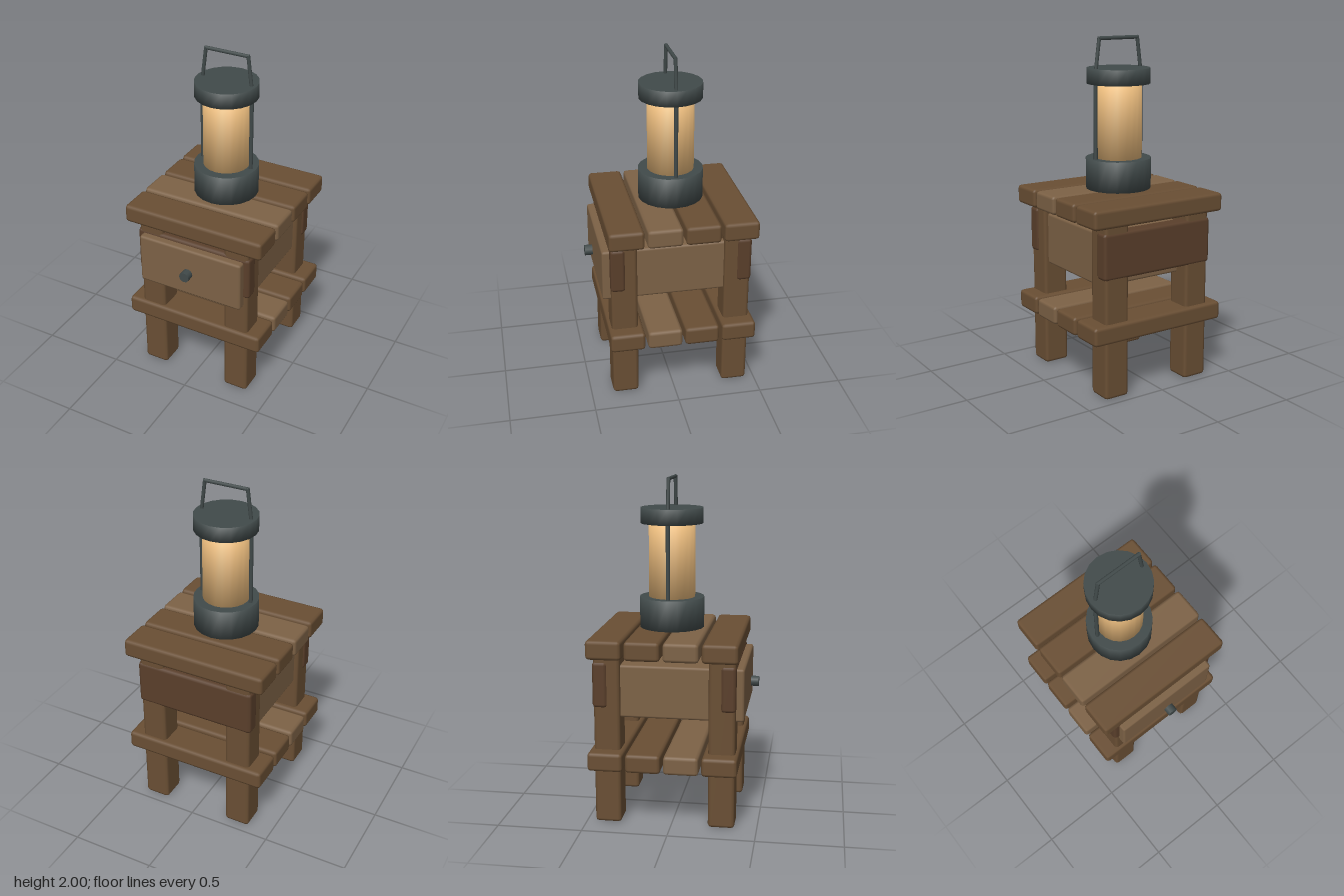
import * as THREE from 'three';
import { RoundedBoxGeometry } from 'three/addons/geometries/RoundedBoxGeometry.js';

const material = (color) => new THREE.MeshStandardMaterial({ color });

export function createModel() {
  const model = new THREE.Group();
  const wood = material(0x6a4f34);
  const paleWood = material(0x7d6246);
  const darkWood = material(0x5a3f2b);
  const metal = material(0x414a4a);
  const glow = material(0xf0c080);

  function add(parent, name, geometry, mat, x = 0, y = 0, z = 0) {
    const mesh = new THREE.Mesh(geometry, mat);
    mesh.name = name;
    mesh.position.set(x, y, z);
    parent.add(mesh);
    return mesh;
  }

  // Chamfered timber given by its lower and upper corners
  function timber(parent, name, mat, [x0, y0, z0], [x1, y1, z1], bevel = 0.02) {
    const geometry = new RoundedBoxGeometry(x1 - x0, y1 - y0, z1 - z0, 1, bevel);
    add(parent, name, geometry, mat, (x0 + x1) / 2, (y0 + y1) / 2, (z0 + z1) / 2);
  }

  const table = new THREE.Group();
  table.name = 'table';
  model.add(table);

  // Table top and lower shelf, four planks each
  for (const [name, y] of [['topPlank', 1.0], ['shelfPlank', 0.34]]) {
    for (let i = 0; i < 4; i++) {
      const z = -0.475 + i * 0.22;
      timber(table, name, i === 2 ? paleWood : wood, [-0.44, y, z], [0.44, y + 0.11, z + 0.204]);
    }
  }

  // Legs
  for (const x of [-0.355, 0.2]) {
    for (const z of [-0.45, 0.215]) {
      timber(table, 'leg', wood, [x, 0, z], [x + 0.155, 1.02, z + 0.155]);
    }
  }

  // Rails across the front and back
  for (const z of [-0.455, 0.285]) {
    timber(table, 'rail', darkWood, [-0.365, 0.7, z], [0.365, 0.97, z + 0.088]);
  }

  // Drawer and its knob
  timber(table, 'drawer', paleWood, [-0.33, 0.64, -0.36], [0.33, 0.95, 0.417], 0.015);
  const knob = new THREE.CylinderGeometry(0.031, 0.031, 0.045, 12).rotateX(Math.PI / 2);
  add(table, 'drawerKnob', knob, metal, 0, 0.8, 0.453);

  const lantern = new THREE.Group();
  lantern.name = 'lantern';
  lantern.position.z = -0.045;
  model.add(lantern);

  // Drum whose side normals lean outwards at the rims for a soft look
  function drum(name, mat, radius, y0, y1) {
    const height = y1 - y0;
    const geometry = new THREE.CylinderGeometry(radius, radius, height, 20);
    const { position, normal } = geometry.attributes;
    for (let i = 0; i < normal.count; i++) {
      if (Math.abs(normal.getY(i)) > 0.5) continue;
      const n = new THREE.Vector3().fromBufferAttribute(normal, i);
      n.y = Math.sign(position.getY(i)) * 0.7;
      n.normalize();
      normal.setXYZ(i, n.x, n.y, n.z);
    }
    add(lantern, name, geometry, mat, 0, (y0 + y1) / 2, 0);
  }
  drum('lanternBase', metal, 0.191, 1.12, 1.3);
  drum('lanternGlass', glow, 0.137, 1.3, 1.735);
  drum('lanternCap', metal, 0.184, 1.73, 1.82);

  // Round bar between two points in the lantern's middle plane
  function bar(name, [ax, ay], [bx, by], radius) {
    const length = Math.hypot(bx - ax, by - ay);
    const geometry = new THREE.CylinderGeometry(radius, radius, length, 8);
    const mesh = add(lantern, name, geometry, metal, (ax + bx) / 2, (ay + by) / 2, 0);
    mesh.rotation.z = -Math.atan2(bx - ax, by - ay);
  }

  // Side rods and carrying handle
  for (const s of [-1, 1]) {
    bar('lanternRod', [s * 0.157, 1.29], [s * 0.157, 1.74], 0.012);
    bar('handleSide', [s * 0.154, 1.81], [s * 0.13, 1.995], 0.011);
  }
  bar('handleGrip', [-0.137, 1.989], [0.137, 1.989], 0.011);

  return model;
}
